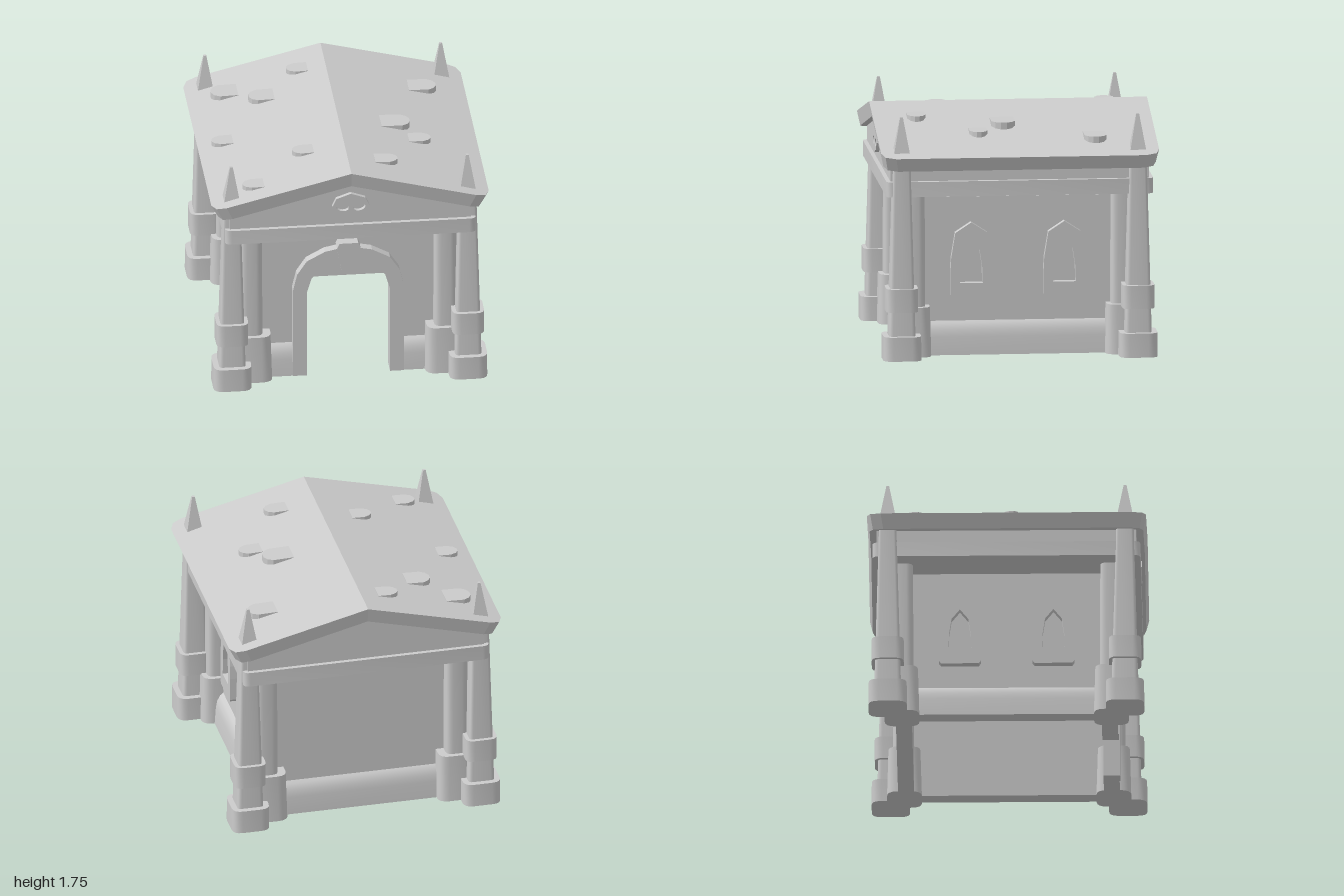
import * as THREE from 'three';
import { toCreasedNormals } from 'three/addons/utils/BufferGeometryUtils.js';

const material = new THREE.MeshStandardMaterial({ color: 0xcccccc });
const SIDES = [-1, 1];

function add(parent, name, geometry, x = 0, y = 0, z = 0, ry = 0) {
  const mesh = new THREE.Mesh(geometry, material);
  mesh.name = name;
  mesh.position.set(x, y, z);
  mesh.rotation.y = ry;
  parent.add(mesh);
  return mesh;
}

const toShape = (pts) => new THREE.Shape(pts.map(([x, y]) => new THREE.Vector2(x, y)));

// Mirrors a right-hand outline (bottom to top) into a closed symmetric one
const mirrored = (half) => [
  ...half,
  ...half.filter(([x]) => x > 0).reverse().map(([x, y]) => [-x, y]),
];

// Flat plate in XY, thickness from z = 0 forward
function plate(pts, depth, holes = []) {
  const shape = toShape(pts);
  holes.forEach((h) => shape.holes.push(h));
  return new THREE.ExtrudeGeometry(shape, { depth, bevelEnabled: false });
}

// Upright block with rounded corners, scaled towards its top
function block(w, d, h, r, taper = 1) {
  const a = w / 2, b = d / 2, s = new THREE.Shape();
  s.moveTo(a - r, -b);
  s.quadraticCurveTo(a, -b, a, -b + r);
  s.lineTo(a, b - r);
  s.quadraticCurveTo(a, b, a - r, b);
  s.lineTo(-a + r, b);
  s.quadraticCurveTo(-a, b, -a, b - r);
  s.lineTo(-a, -b + r);
  s.quadraticCurveTo(-a, -b, -a + r, -b);
  const g = new THREE.ExtrudeGeometry(s, { depth: h, bevelEnabled: false, curveSegments: 4 });
  g.rotateX(-Math.PI / 2);
  const p = g.attributes.position;
  for (let i = 0; i < p.count; i++) {
    const k = 1 + (taper - 1) * p.getY(i) / h;
    p.setXYZ(i, p.getX(i) * k, p.getY(i), p.getZ(i) * k);
  }
  return toCreasedNormals(g, 0.7);
}

// Extrudes a plan (x, z) and sets heights by rule(x, z, isTop) -> [x, y, z]
function heightSlab(plan, rule) {
  const g = plate(plan.map(([x, z]) => [x, -z]), 1);
  g.rotateX(-Math.PI / 2);
  const p = g.attributes.position;
  for (let i = 0; i < p.count; i++) {
    p.setXYZ(i, ...rule(p.getX(i), p.getZ(i), p.getY(i) > 0.5));
  }
  g.computeVertexNormals();
  return g;
}

const roofY = (x) => 1.725 - 0.25 * Math.abs(x);

function buildRoof(parent) {
  const roof = new THREE.Group();
  roof.name = 'roof';
  parent.add(roof);

  // One slope with clipped corners, used twice
  const plan = [[0, 1], [0.9, 1], [0.97, 0.975], [1, 0.9], [1, -0.9], [0.97, -0.975], [0.9, -1], [0, -1]];
  const slope = heightSlab(plan, (x, z, top) =>
    top ? [x, roofY(x), z] : [x * 0.95, 1.615 - 0.24 * x, z * 0.98]);
  add(roof, 'roofSlopeLeft', slope);
  add(roof, 'roofSlopeRight', slope, 0, 0, 0, Math.PI);

  // Lifted roof tiles: side, uphill x, downhill x, z, half width
  const tiles = [
    [-1, 0.64, 0.83, -0.655, 0.085], [-1, 0.13, 0.28, -0.71, 0.065], [-1, 0.40, 0.58, -0.45, 0.08],
    [-1, 0.75, 0.90, 0.035, 0.065], [-1, 0.22, 0.37, 0.485, 0.065], [-1, 0.61, 0.76, 0.78, 0.065],
    [1, 0.58, 0.78, -0.56, 0.08], [1, 0.31, 0.52, 0.08, 0.085], [1, 0.49, 0.65, 0.27, 0.065],
    [1, 0.20, 0.365, 0.69, 0.065],
  ];
  for (const [side, x0, x1, z, w] of tiles) {
    const tilePlan = [[x0, w], [x1 - 0.06, w], [x1 - 0.02, w * 0.7], [x1, w * 0.25],
      [x1, -w * 0.25], [x1 - 0.02, -w * 0.7], [x1 - 0.06, -w], [x0, -w]];
    const tile = heightSlab(tilePlan, (x, tz, top) =>
      [x, top ? roofY(x0) + 0.003 - 0.03 * (x - x0) : roofY(x) - 0.01, tz]);
    add(roof, 'roofTile', tile, 0, 0, z, side < 0 ? Math.PI : 0);
  }

  // Corner spikes
  const spike = new THREE.CylinderGeometry(0.014, 0.08, 0.26, 4).rotateY(Math.PI / 4).toNonIndexed();
  spike.computeVertexNormals();
  for (const sx of SIDES) for (const sz of SIDES) add(roof, 'spike', spike, sx * 0.85, 1.625, sz * 0.85);

  // Gable body and the beam below it
  const gable = plate(mirrored([[0.87, 1.28], [0.87, 1.41], [0, 1.635]]), 1.86);
  add(roof, 'gable', gable, 0, 0, -0.93);
  add(roof, 'beam', block(1.81, 1.92, 0.11, 0.05), 0, 1.18, 0);

  // Skull ornament with open eye sockets
  const eyes = SIDES.map((s) => new THREE.Path().absellipse(s * 0.06, 1.435, 0.045, 0.03, 0, Math.PI * 2, false, s * 0.2));
  const skull = plate(mirrored([[0, 1.355], [0.06, 1.385], [0.1, 1.385], [0.133, 1.445], [0.105, 1.505], [0, 1.543]]), 0.04, eyes);
  add(roof, 'skullOrnament', skull, 0, 0, 0.92);
}

function buildCorners(parent) {
  const post = block(0.2, 0.2, 1.42, 0.03, 0.62);
  const foot = block(0.275, 0.275, 0.175, 0.07, 0.99);
  const ring = block(0.23, 0.23, 0.17, 0.06);
  const column = block(0.165, 0.165, 1.2, 0.05, 0.96);
  const columnFoot = block(0.28, 0.25, 0.36, 0.08, 0.92);
  for (const sx of SIDES) for (const sz of SIDES) {
    const corner = new THREE.Group();
    corner.name = 'cornerPillar';
    parent.add(corner);
    add(corner, 'post', post, sx * 0.85, 0, sz * 0.85);
    add(corner, 'postFoot', foot, sx * 0.85, 0, sz * 0.85);
    add(corner, 'postRing', ring, sx * 0.85, 0.35, sz * 0.85);
    add(corner, 'innerColumn', column, sx * 0.7, 0, sz * 0.75);
    add(corner, 'innerColumnFoot', columnFoot, sx * 0.69, 0, sz * 0.75);
  }
}

function buildWalls(parent) {
  const H = 1.14, T = 0.05;
  const doorEdge = [[0.3, 0], [0.3, 0.67], [0.265, 0.785], [0.2, 0.855], [0.11, 0.885], [0, 0.895]];
  const door = mirrored(doorEdge);

  // Front wall with doorway, back and side walls
  add(parent, 'frontWall', plate([[-0.68, 0], [-0.68, H], [0.68, H], [0.68, 0], ...door], T), 0, 0, 0.68);
  add(parent, 'backWall', new THREE.BoxGeometry(1.36, H, T), 0, H / 2, -0.705);
  for (const s of SIDES) add(parent, 'sideWall', new THREE.BoxGeometry(T, H, 1.4), s * 0.655, H / 2, 0);

  // Door surround and keystone
  const outer = mirrored([[0.4, 0], [0.4, 0.69], [0.37, 0.82], [0.3, 0.925], [0.17, 0.995], [0, 1.03]]);
  add(parent, 'doorArch', plate([...outer, ...door.slice().reverse()], 0.12), 0, 0, 0.68);
  const key = mirrored([[0.03, 0.825], [0.052, 0.845], [0.085, 1.03], [0.068, 1.07]]);
  add(parent, 'keystone', plate(key, 0.15), 0, 0, 0.68);

  // Plinth with a rounded upper edge
  const plinth = (length) => {
    const s = toShape([[-0.03, 0], [0.065, 0], [0.055, 0.13], [0.045, 0.18], [0.025, 0.22], [0, 0.24], [-0.03, 0.24]]);
    const g = new THREE.ExtrudeGeometry(s, { depth: length, bevelEnabled: false });
    return toCreasedNormals(g.translate(0, 0, -length / 2), 0.65);
  };
  const sidePlinth = plinth(1.4), frontPlinth = plinth(0.32);
  for (const s of SIDES) {
    add(parent, 'sidePlinth', sidePlinth, s * 0.68, 0, 0, s > 0 ? 0 : Math.PI);
    add(parent, 'frontPlinth', frontPlinth, s * 0.52, 0, 0.73, -Math.PI / 2);
  }
  add(parent, 'backPlinth', plinth(1.36), 0, 0, -0.73, Math.PI / 2);

  // Blind window frames on both sides
  const hole = toShape(mirrored([[0.082, 0.52], [0.078, 0.64], [0.06, 0.76], [0, 0.835]]));
  const frame = plate(mirrored([[0.135, 0.41], [0.15, 0.43], [0.15, 0.6], [0.145, 0.7], [0.115, 0.885], [0, 0.96]]), 0.065, [hole]);
  for (const s of SIDES) for (const z of [-0.335, 0.335]) {
    add(parent, 'windowFrame', frame, s * 0.67, 0, z, s * Math.PI / 2);
  }
}

export function createModel() {
  const model = new THREE.Group();
  model.name = 'mausoleum';
  buildRoof(model);
  buildCorners(model);
  buildWalls(model);
  return model;
}
